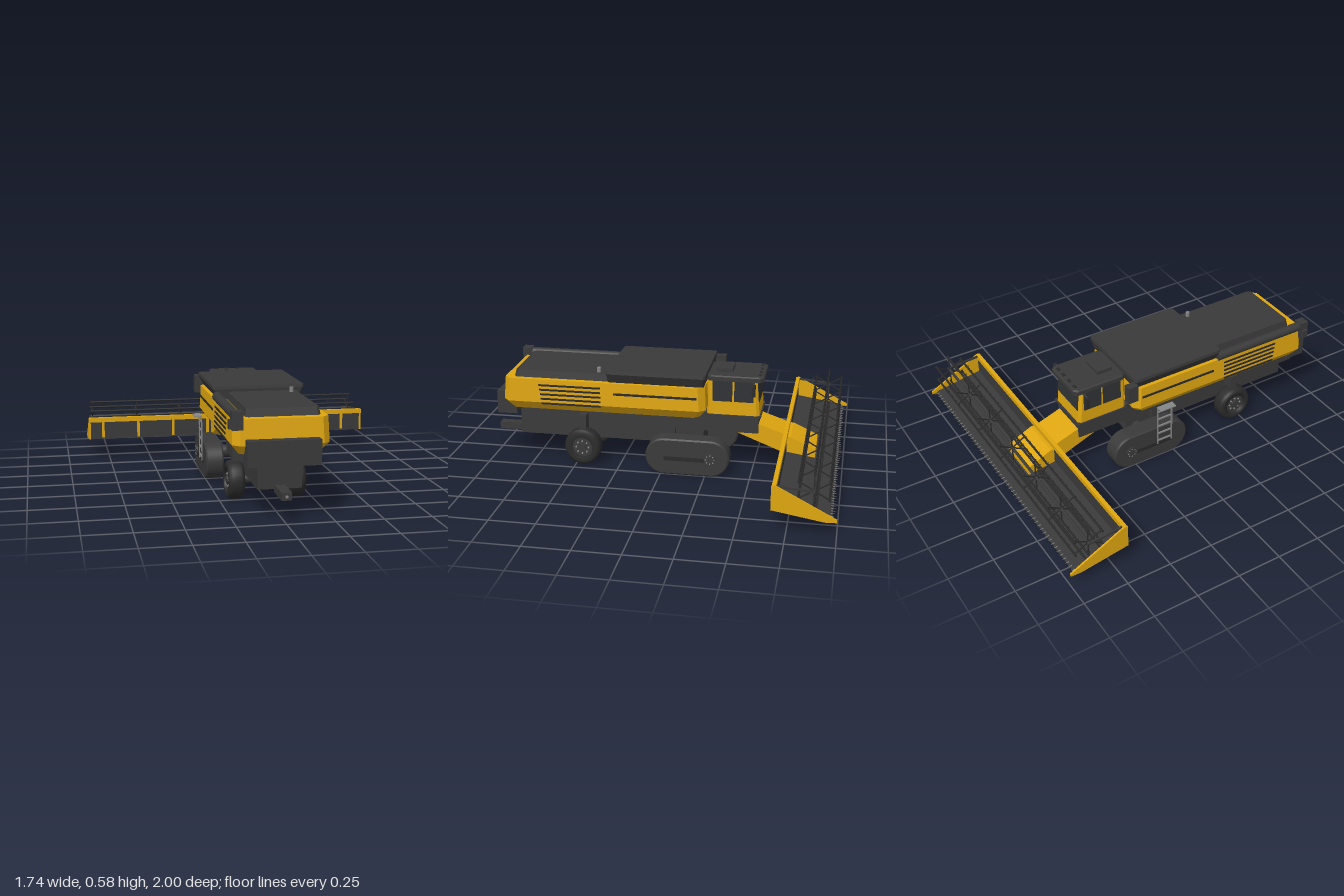
import * as THREE from 'three';

const mat = (name, color) => Object.assign(new THREE.MeshStandardMaterial({ color }), { name });
const yellow = mat('yellow paint', 0xdfa60f);
const dark = mat('charcoal', 0x3a3a3b);
const black = mat('black rubber', 0x2b2b2c);
const glass = mat('dark glass', 0x303235);
const grey = mat('grey metal', 0x858585);

export function createModel() {
  const root = new THREE.Group();
  root.name = 'combineHarvester';

  const add = (name, geo, m, x = 0, y = 0, z = 0, parent = root) => {
    const mesh = new THREE.Mesh(geo, m);
    mesh.name = name;
    mesh.position.set(x, y, z);
    parent.add(mesh);
    return mesh;
  };
  // box given by its extents
  const box = (name, m, x0, x1, y0, y1, z0, z1, parent) =>
    add(name, new THREE.BoxGeometry(x1 - x0, y1 - y0, z1 - z0), m,
      (x0 + x1) / 2, (y0 + y1) / 2, (z0 + z1) / 2, parent);
  // cylinder lying along x
  const rodX = (name, m, r, len, x, y, z, parent, sides = 24) =>
    add(name, new THREE.CylinderGeometry(r, r, len, sides).rotateZ(Math.PI / 2), m, x, y, z, parent);
  // side profile of [z, y] points, extruded across x
  const profile = (name, m, pts, x0, x1, parent) => {
    const shape = new THREE.Shape(pts.map(([z, y]) => new THREE.Vector2(-z, y)));
    const geo = new THREE.ExtrudeGeometry(shape, { depth: x1 - x0, bevelEnabled: false }).rotateY(Math.PI / 2);
    return add(name, geo, m, x0, 0, 0, parent);
  };
  // stacked chamfered rectangles: [y, x0, x1, z0, z1, chamfer]
  const loft = (name, m, levels) => {
    const rings = levels.map(([y, a, b, c, d, k]) => [
      [b, y, d - k], [b, y, c + k], [b - k, y, c], [a + k, y, c],
      [a, y, c + k], [a, y, d - k], [a + k, y, d], [b - k, y, d]]);
    const pos = [];
    const tri = (...p) => p.forEach(v => pos.push(...v));
    for (let l = 0; l + 1 < rings.length; l++) {
      for (let i = 0; i < 8; i++) {
        const j = (i + 1) % 8, lo = rings[l], hi = rings[l + 1];
        tri(lo[i], lo[j], hi[j]);
        tri(lo[i], hi[j], hi[i]);
      }
    }
    const top = rings[rings.length - 1], bot = rings[0];
    for (let i = 1; i < 7; i++) {
      tri(top[0], top[i], top[i + 1]);
      tri(bot[0], bot[i + 1], bot[i]);
    }
    const geo = new THREE.BufferGeometry();
    geo.setAttribute('position', new THREE.Float32BufferAttribute(pos, 3));
    geo.computeVertexNormals();
    return add(name, geo, m);
  };

  // chassis and rear
  box('chassis', dark, -0.115, 0.115, 0.14, 0.335, -0.06, 0.84);
  box('frontChassis', dark, -0.12, 0.12, 0.225, 0.33, -0.53, -0.06);
  box('rearBox', dark, -0.187, 0.187, 0.28, 0.41, 0.84, 0.953);
  box('hitch', dark, -0.026, 0.026, 0.12, 0.16, 0.82, 1.0);
  add('hitchPin', new THREE.CylinderGeometry(0.008, 0.008, 0.01, 10).rotateX(Math.PI / 2), grey, 0, 0.14, 0.997);

  // bodywork
  loft('body', yellow, [
    [0.328, -0.21, 0.21, -0.21, 0.865, 0.03],
    [0.378, -0.248, 0.248, -0.248, 0.9, 0.035],
    [0.51, -0.242, 0.242, -0.24, 0.89, 0.035]]);
  loft('grainTank', dark, [
    [0.508, -0.22, 0.22, -0.235, 0.3, 0.01],
    [0.565, -0.252, 0.252, -0.247, 0.305, 0.01],
    [0.582, -0.25, 0.25, -0.245, 0.303, 0.01]]);
  loft('engineCover', dark, [
    [0.508, -0.175, 0.21, 0.29, 0.84, 0.015],
    [0.55, -0.168, 0.203, 0.29, 0.83, 0.015]]);
  add('beacon', new THREE.CylinderGeometry(0.011, 0.011, 0.028, 12), grey, 0.168, 0.563, 0.36);

  // side louvres and trim
  for (const s of [-1, 1]) {
    for (let i = 0; i < 5; i++) {
      const y = 0.478 - i * 0.026, x = s * (0.2436 + i * 0.0012);
      box('louvre', black, x - 0.004, x + 0.004, y - 0.005, y + 0.005, 0.337, 0.69 - i * 0.004);
    }
    box('sideTrim', black, s * 0.245 - 0.004, s * 0.245 + 0.004, 0.444, 0.456, -0.2, 0.265);
  }

  // unloading auger along the right side
  const auger = new THREE.Group();
  auger.name = 'unloadingAuger';
  root.add(auger);
  add('augerTube', new THREE.CylinderGeometry(0.026, 0.026, 0.61, 20).rotateX(Math.PI / 2), dark, -0.228, 0.525, 0.6, auger);
  box('augerSpout', dark, -0.255, -0.2, 0.46, 0.555, 0.86, 0.915, auger);
  box('augerBracket', dark, -0.27, -0.25, 0.465, 0.51, 0.87, 0.905, auger);
  box('augerPivot', dark, -0.27, -0.225, 0.46, 0.56, -0.3, -0.24, auger);

  // cab
  loft('cab', yellow, [
    [0.325, -0.13, 0.13, -0.535, -0.24, 0.015],
    [0.53, -0.13, 0.13, -0.518, -0.24, 0.015]]);
  box('cabFloor', dark, -0.138, 0.138, 0.32, 0.33, -0.543, -0.24);
  loft('cabRoof', dark, [
    [0.527, -0.14, 0.14, -0.555, -0.24, 0.02],
    [0.55, -0.14, 0.14, -0.555, -0.24, 0.02],
    [0.556, -0.133, 0.133, -0.548, -0.247, 0.02]]);
  box('roofUnit', dark, -0.065, 0.063, 0.55, 0.575, -0.375, -0.285);
  for (const s of [-1, 1]) {
    box('sideWindow', glass, s * 0.131 - 0.003, s * 0.131 + 0.003, 0.408, 0.526, -0.382, -0.272);
    box('sideWindow', glass, s * 0.131 - 0.003, s * 0.131 + 0.003, 0.408, 0.526, -0.5, -0.393);
    box('mirrorArm', dark, s * 0.16 - 0.03, s * 0.16 + 0.03, 0.518, 0.526, -0.505, -0.497);
    box('mirror', black, s * 0.183 - 0.007, s * 0.183 + 0.007, 0.46, 0.528, -0.515, -0.495);
    for (const x of [0.032, 0.092]) box('roofLight', black, s * x - 0.012, s * x + 0.012, 0.552, 0.56, -0.538, -0.522);
  }
  const windscreen = add('windscreen', new THREE.BoxGeometry(0.225, 0.12, 0.006), glass, 0, 0.466, -0.524);
  windscreen.rotation.x = 0.083;

  // access ladder
  const ladder = new THREE.Group();
  ladder.name = 'ladder';
  root.add(ladder);
  for (const z of [-0.115, -0.025]) box('ladderRail', grey, -0.268, -0.262, 0.1, 0.36, z - 0.004, z + 0.004, ladder);
  for (let i = 0; i < 5; i++) box('ladderStep', grey, -0.269, -0.261, 0.12 + i * 0.05, 0.128 + i * 0.05, -0.115, -0.025, ladder);
  box('ladderPlatform', grey, -0.305, -0.262, 0.354, 0.36, -0.119, -0.021, ladder);

  // running gear, mirrored
  for (const s of [-1, 1]) {
    const side = new THREE.Group();
    side.name = s > 0 ? 'leftRunningGear' : 'rightRunningGear';
    root.add(side);

    const hull = new THREE.Shape();
    hull.absarc(0.28, 0.105, 0.105, -Math.PI / 2, Math.PI / 2);
    hull.absarc(0.02, 0.105, 0.105, Math.PI / 2, Math.PI * 1.5);
    const track = new THREE.ExtrudeGeometry(hull, {
      depth: 0.084, bevelThickness: 0.008, bevelSize: 0.008, bevelOffset: -0.008, bevelSegments: 1, curveSegments: 16,
    }).rotateY(Math.PI / 2);
    add('track', track, dark, s * 0.205 - 0.042, 0, 0, side);
    box('trackFrame', black, s * 0.256 - 0.004, s * 0.256 + 0.004, 0.085, 0.108, -0.29, -0.02, side);
    rodX('trackHub', dark, 0.034, 0.012, s * 0.256, 0.105, -0.28, side);
    for (let i = 0; i < 8; i++) {
      const a = i * Math.PI / 4;
      rodX('trackBolt', grey, 0.004, 0.008, s * 0.26, 0.105 + 0.024 * Math.sin(a), -0.28 + 0.024 * Math.cos(a), side, 8);
    }

    // rear wheel: tyre lathe with a recessed rim
    const tyre = [[0.058, -0.04], [0.085, -0.045], [0.1, -0.035], [0.105, -0.02], [0.105, 0.02],
      [0.1, 0.035], [0.085, 0.045], [0.058, 0.04], [0.058, -0.04]].map(p => new THREE.Vector2(...p));
    add('rearTyre', new THREE.LatheGeometry(tyre, 28).rotateZ(Math.PI / 2), black, s * 0.165, 0.105, 0.46, side);
    rodX('rearRim', dark, 0.059, 0.06, s * 0.165, 0.105, 0.46, side);
    rodX('rearHub', dark, 0.022, 0.085, s * 0.165, 0.105, 0.46, side);
    for (let i = 0; i < 8; i++) {
      const a = i * Math.PI / 4;
      rodX('wheelBolt', grey, 0.005, 0.01, s * 0.197, 0.105 + 0.036 * Math.sin(a), 0.46 + 0.036 * Math.cos(a), side, 8);
    }
    box('rearStrut', dark, s * 0.145 - 0.032, s * 0.145 + 0.032, 0.2, 0.29, 0.44, 0.48, side);
  }
  rodX('rearAxle', dark, 0.024, 0.3, 0, 0.105, 0.46);
  box('rearAxleMount', dark, -0.04, 0.04, 0.1, 0.16, 0.42, 0.5);
  rodX('trackAxle', dark, 0.035, 0.34, 0, 0.125, -0.15);
  box('trackAxleMount', dark, -0.09, 0.09, 0.12, 0.24, -0.22, -0.06);

  // feeder house
  profile('feederHouse', yellow, [[-0.39, 0.228], [-0.52, 0.28], [-0.68, 0.225], [-0.68, 0.115]], -0.107, 0.107);
  profile('feederMouth', yellow, [[-0.69, 0.11], [-0.69, 0.215], [-0.71, 0.215], [-0.85, 0.15], [-0.85, 0.095]], -0.122, 0.118);

  // header
  const header = new THREE.Group();
  header.name = 'header';
  root.add(header);
  profile('headerFloor', dark, [[-0.675, 0.115], [-0.675, 0.13], [-0.96, 0.085], [-0.975, 0.073], [-0.94, 0.07]], -0.863, 0.863, header);
  box('headerBack', dark, -0.863, 0.863, 0.115, 0.23, -0.69, -0.68, header);
  box('headerBeam', yellow, -0.863, 0.863, 0.22, 0.248, -0.695, -0.673, header);
  for (let i = 0; i < 8; i++) {
    const x = -0.785 + i * 0.218;
    box('backRib', yellow, x - 0.008, x + 0.008, 0.122, 0.225, -0.682, -0.672, header);
  }
  for (const s of [-1, 1]) {
    profile('endDivider', yellow, [[-0.67, 0.115], [-0.67, 0.245], [-0.69, 0.248], [-0.999, 0.087], [-0.999, 0.072], [-0.94, 0.07]],
      s * 0.867 - 0.005, s * 0.867 + 0.005, header);
  }
  for (const z of [-0.795, -0.89]) {
    const y = 0.1305 + (z + 0.675) * 0.158;
    box('floorSeam', black, -0.86, 0.86, y - 0.006, y + 0.003, z - 0.006, z + 0.006, header);
  }
  // cutter bar fingers
  const finger = new THREE.ConeGeometry(0.004, 0.028, 5).rotateX(-Math.PI / 2);
  for (let i = 0; i < 56; i++) add('cutterFinger', finger, grey, -0.845 + i * 0.0307, 0.08, -0.974, header);

  // reel
  const reel = new THREE.Group();
  reel.name = 'reel';
  reel.position.set(0, 0.222, -0.88);
  root.add(reel);
  rodX('reelShaft', dark, 0.008, 1.71, 0, 0, 0, reel, 12);
  const tine = new THREE.CylinderGeometry(0.0015, 0.0015, 0.022, 5);
  for (let b = 0; b < 6; b++) {
    const a = b * Math.PI / 3, y = 0.089 * Math.cos(a), z = 0.089 * Math.sin(a);
    rodX('reelBar', black, 0.006, 1.71, 0, y, z, reel, 8);
    for (let i = 0; i < 34; i++) add('tine', tine, black, -0.835 + i * 0.0506, y + 0.01, z, reel);
    for (let i = 0; i < 7; i++) {
      const arm = box('reelArm', black, -0.003, 0.003, -0.045, 0.045, -0.003, 0.003, reel);
      arm.position.set(-0.84 + i * 0.28, y / 2, z / 2);
      arm.rotation.x = a;
    }
  }
  // arms carrying the reel from the header beam
  for (const s of [-1, 1]) {
    profile('reelSupport', dark, [[-0.68, 0.235], [-0.68, 0.247], [-0.885, 0.228], [-0.885, 0.216]], s * 0.855 - 0.004, s * 0.855 + 0.004, header);
  }
  return root;
}
